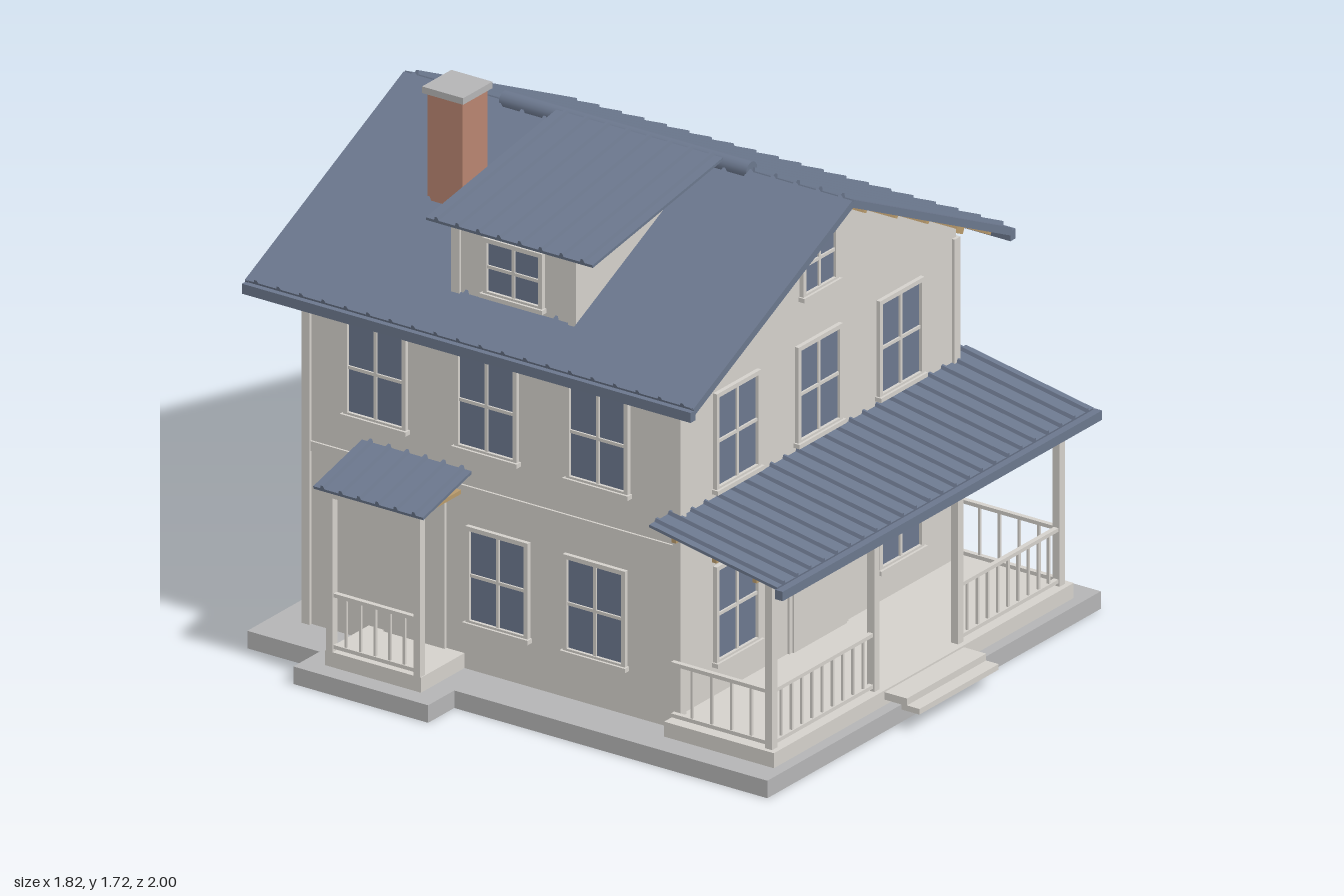
import * as THREE from 'three';

const mat = (name, color) => {
  const m = new THREE.MeshStandardMaterial({ color });
  m.name = name;
  return m;
};

export function createModel() {
  const house = new THREE.Group();
  house.name = 'house';
  const wall = mat('wall', 0xd4d1cb), stone = mat('stone', 0xb4b4b5), roof = mat('roofMetal', 0x6b778d);
  const glass = mat('glass', 0x6c778e), brick = mat('brick', 0xb88470), wood = mat('wood', 0xb89a6c);

  const add = (name, geo, m, parent = house) => {
    const mesh = new THREE.Mesh(geo, m);
    mesh.name = name;
    parent.add(mesh);
    return mesh;
  };
  // Box given by its limits on each axis
  const box = (name, m, x0, x1, y0, y1, z0, z1, parent = house) => {
    const b = add(name, new THREE.BoxGeometry(x1 - x0, y1 - y0, z1 - z0), m, parent);
    b.position.set((x0 + x1) / 2, (y0 + y1) / 2, (z0 + z1) / 2);
    return b;
  };
  // Outline in x and y, extruded along z
  const prism = (name, m, pts, z0, z1) => {
    const shape = new THREE.Shape(pts.map(p => new THREE.Vector2(...p)));
    const g = new THREE.ExtrudeGeometry(shape, { depth: z1 - z0, bevelEnabled: false });
    return add(name, g.translate(0, 0, z0), m);
  };

  // Ribbed metal sheet running from the middle of its top edge to the middle of its bottom edge
  const sheet = (name, top, bottom, width, pitch) => {
    const t = 0.009, n = Math.round(width / pitch), step = width / n, h = width / 2;
    const pts = [[-h, 0], [h, 0], [h, t]];
    for (let i = n - 1; i >= 0; i--) {
      const c = -h + (i + 0.5) * step;
      pts.push([c + 0.008, t], [c + 0.004, t + 0.011], [c - 0.004, t + 0.011], [c - 0.008, t]);
    }
    pts.push([-h, t]);
    const a = new THREE.Vector3(...top), s = new THREE.Vector3(...bottom).sub(a), len = s.length();
    s.normalize();
    const u = new THREE.Vector3(0, 1, 0).cross(s).normalize();
    const g = new THREE.ExtrudeGeometry(new THREE.Shape(pts.map(p => new THREE.Vector2(...p))),
      { depth: len, bevelEnabled: false });
    g.applyMatrix4(new THREE.Matrix4().makeBasis(u, s.clone().cross(u), s).setPosition(a));
    return add(name, g, roof);
  };

  // Window with cross bars, facing +z before rotation
  const windowUnit = (name, x, y, z, ry, w = 0.21, h = 0.3) => {
    const g = new THREE.Group();
    g.name = name;
    g.position.set(x, y, z);
    g.rotation.y = ry;
    house.add(g);
    const a = w / 2, b = h / 2;
    box('panes', glass, -a, a, -b, b, -0.002, 0.004, g);
    for (const s of [-1, 1]) {
      box('sideFrame', wall, s * a - 0.007, s * a + 0.007, -b, b, -0.002, 0.014, g);
      box('crossFrame', wall, -a - 0.007, a + 0.007, s * b - 0.007, s * b + 0.007, -0.002, 0.014, g);
    }
    box('mullion', wall, -0.005, 0.005, -b, b, -0.002, 0.01, g);
    box('glazingBar', wall, -a, a, -0.005, 0.005, -0.002, 0.01, g);
    box('sill', wall, -a - 0.013, a + 0.013, -b - 0.014, -b, -0.002, 0.022, g);
  };

  // Railing between two points on the floor plan
  const railing = (name, x0, z0, x1, z1, count) => {
    const g = new THREE.Group(), len = Math.hypot(x1 - x0, z1 - z0);
    g.name = name;
    g.position.set(x0, 0, z0);
    g.rotation.y = Math.atan2(-(z1 - z0), x1 - x0);
    house.add(g);
    for (const y of [0.12, 0.285]) box('rail', wall, 0, len, y - 0.006, y + 0.006, -0.008, 0.008, g);
    for (let i = 1; i <= count; i++) {
      const x = (len * i) / (count + 1);
      box('baluster', wall, x - 0.004, x + 0.004, 0.12, 0.285, -0.004, 0.004, g);
    }
  };

  // Foundation
  box('foundation', stone, -0.78, 0.905, 0, 0.056, -0.96, 0.912);
  box('sideFoundation', stone, -0.912, -0.78, 0, 0.056, -0.7, -0.215);

  // Walls, gable, corner boards and floor band
  const X0 = -0.63, X1 = 0.765, Z0 = -0.855, Z1 = 0.49, RX = 0.063, RY = 1.53, SLOPE = 0.472;
  const roofY = d => RY - SLOPE * d;
  box('walls', wall, X0, X1, 0.056, 1.188, Z0, Z1);
  prism('gable', wall, [[X0, 1.188], [X1, 1.188], [RX, RY - 0.008]], Z0, Z1);
  for (const x of [-0.64, 0.745]) for (const z of [-0.865, 0.47])
    box('cornerBoard', wall, x, x + 0.03, 0.056, 1.135, z, z + 0.03);
  box('floorBand', wall, X0 - 0.007, X1 + 0.007, 0.614, 0.645, Z0 - 0.007, Z1 + 0.007);

  // Main roof: sheets, gutters, edge boards, purlins and rafter tails
  const RZ0 = -0.995, RZ1 = 0.62, zMid = (RZ0 + RZ1) / 2, ang = Math.atan(SLOPE);
  for (const s of [-1, 1]) {
    const at = d => RX + s * d;
    sheet('mainRoof', [RX, RY, zMid], [at(0.802), roofY(0.802), zMid], RZ1 - RZ0, 0.0808);
    const gx = at(0.808);
    box('gutter', roof, gx - 0.013, gx + 0.013, 1.12, 1.152, RZ0, RZ1);
    for (const z of [RZ0 + 0.006, RZ1 - 0.006]) {
      const b = add('edgeBoard', new THREE.BoxGeometry(0.802 / Math.cos(ang), 0.022, 0.012), roof);
      b.position.set(at(0.401), roofY(0.401) - 0.004, z);
      b.rotation.z = -s * ang;
    }
    for (const d of [0.08, 0.237, 0.394, 0.551, 0.708]) {
      const p = box('purlin', wood, at(d) - 0.008, at(d) + 0.008, roofY(d) - 0.026, roofY(d) - 0.01, RZ0 + 0.012, RZ1 - 0.012);
      p.rotation.z = -s * ang;
    }
    for (let i = 0; i < 6; i++) {
      const r = add('rafterTail', new THREE.BoxGeometry(0.13, 0.028, 0.02), wood);
      r.position.set(at(0.733), roofY(0.733) - 0.04, 0.445 - 0.251 * i);
      r.rotation.z = -s * ang;
    }
  }
  const cap = add('ridgeCap', new THREE.CylinderGeometry(0.028, 0.028, 0.89, 16), roof);
  cap.rotation.x = Math.PI / 2;
  cap.position.set(RX, 1.54, -0.19);

  // Dormer on the right slope
  prism('dormer', wall, [[-0.585, 1.21], [0.03, 1.49], [0.03, 1.55], [-0.585, 1.452]], -0.36, 0.09);
  sheet('dormerRoof', [0.045, 1.556, -0.135], [-0.613, 1.448, -0.135], 0.6, 0.075);
  for (const z of [-0.36, 0.06]) box('dormerCorner', wall, -0.592, -0.57, 1.22, 1.45, z, z + 0.03);
  windowUnit('dormerWindow', -0.586, 1.345, -0.135, -Math.PI / 2, 0.2, 0.17);

  // Chimney
  box('chimney', brick, -0.324, -0.197, 1.3, 1.7, -0.637, -0.51);
  box('chimneyCap', stone, -0.335, -0.187, 1.7, 1.721, -0.648, -0.5);

  // Windows
  for (const x of [-0.35, RX, 0.475]) windowUnit('upperFrontWindow', x, 0.918, Z1, 0);
  for (const x of [-0.35, 0.475]) windowUnit('lowerFrontWindow', x, 0.363, Z1, 0);
  windowUnit('atticWindow', 0.065, 1.322, Z1, 0, 0.165, 0.19);
  for (const z of [0.185, -0.555]) for (const y of [0.918, 0.36])
    windowUnit('leftWindow', X1, y, z, Math.PI / 2);
  for (const z of [-0.6, -0.2, 0.2]) windowUnit('upperRightWindow', X0, 0.918, z, -Math.PI / 2);
  for (const z of [-0.16, 0.19]) windowUnit('lowerRightWindow', X0, 0.363, z, -Math.PI / 2);
  windowUnit('backWindow', RX, 0.918, Z0, Math.PI, 0.25, 0.3);

  // Doors
  box('frontDoorFrame', wall, -0.085, 0.213, 0.1, 0.6, Z1 - 0.01, Z1 + 0.006);
  box('frontDoor', wall, -0.07, 0.198, 0.1, 0.583, Z1 - 0.01, Z1 + 0.012);
  box('sideDoor', wall, X0 - 0.01, X0 + 0.01, 0.1, 0.583, -0.57, -0.35);

  // Front porch
  box('porchFloor', wall, -0.695, 0.82, 0.056, 0.104, Z1 - 0.01, 0.875);
  box('upperStep', wall, -0.135, 0.265, 0.074, 0.098, 0.87, 0.955);
  box('lowerStep', wall, -0.135, 0.265, 0.058, 0.076, 0.935, 1.0);
  for (const x of [-0.667, -0.15, 0.273, 0.786])
    box('porchPost', wall, x - 0.013, x + 0.013, 0.1, 0.64, 0.832, 0.858);
  box('porchBeam', wall, -0.68, 0.8, 0.61, 0.638, 0.832, 0.858);
  railing('porchRailing', -0.667, 0.845, -0.15, 0.845, 9);
  railing('porchRailing', 0.273, 0.845, 0.786, 0.845, 9);
  for (const x of [-0.667, 0.786]) railing('porchSideRailing', x, Z1, x, 0.845, 4);
  sheet('porchRoof', [RX, 0.736, 0.455], [RX, 0.652, 0.915], 1.6, 0.0667);
  box('porchGutter', roof, -0.742, 0.872, 0.625, 0.655, 0.912, 0.94);
  for (const z of [0.54, 0.685, 0.83]) {
    const y = 0.736 - (z - 0.455) * 0.183;
    box('porchPurlin', wood, -0.73, 0.855, y - 0.016, y - 0.002, z - 0.008, z + 0.008);
  }

  // Side porch
  box('sidePorchFloor', wall, -0.85, X0, 0.056, 0.104, -0.63, -0.285);
  for (const z of [-0.615, -0.3]) {
    box('sidePorchPost', wall, -0.85, -0.826, 0.1, 0.622, z - 0.012, z + 0.012);
    box('sidePorchRafter', wood, -0.84, X0, 0.615, 0.628, z - 0.008, z + 0.008);
  }
  box('sidePorchBeam', wall, -0.85, -0.826, 0.597, 0.624, -0.627, -0.288);
  railing('sidePorchRailing', -0.838, -0.615, -0.838, -0.3, 5);
  sheet('sidePorchRoof', [-0.62, 0.687, -0.457], [-0.874, 0.624, -0.457], 0.395, 0.066);

  return house;
}
